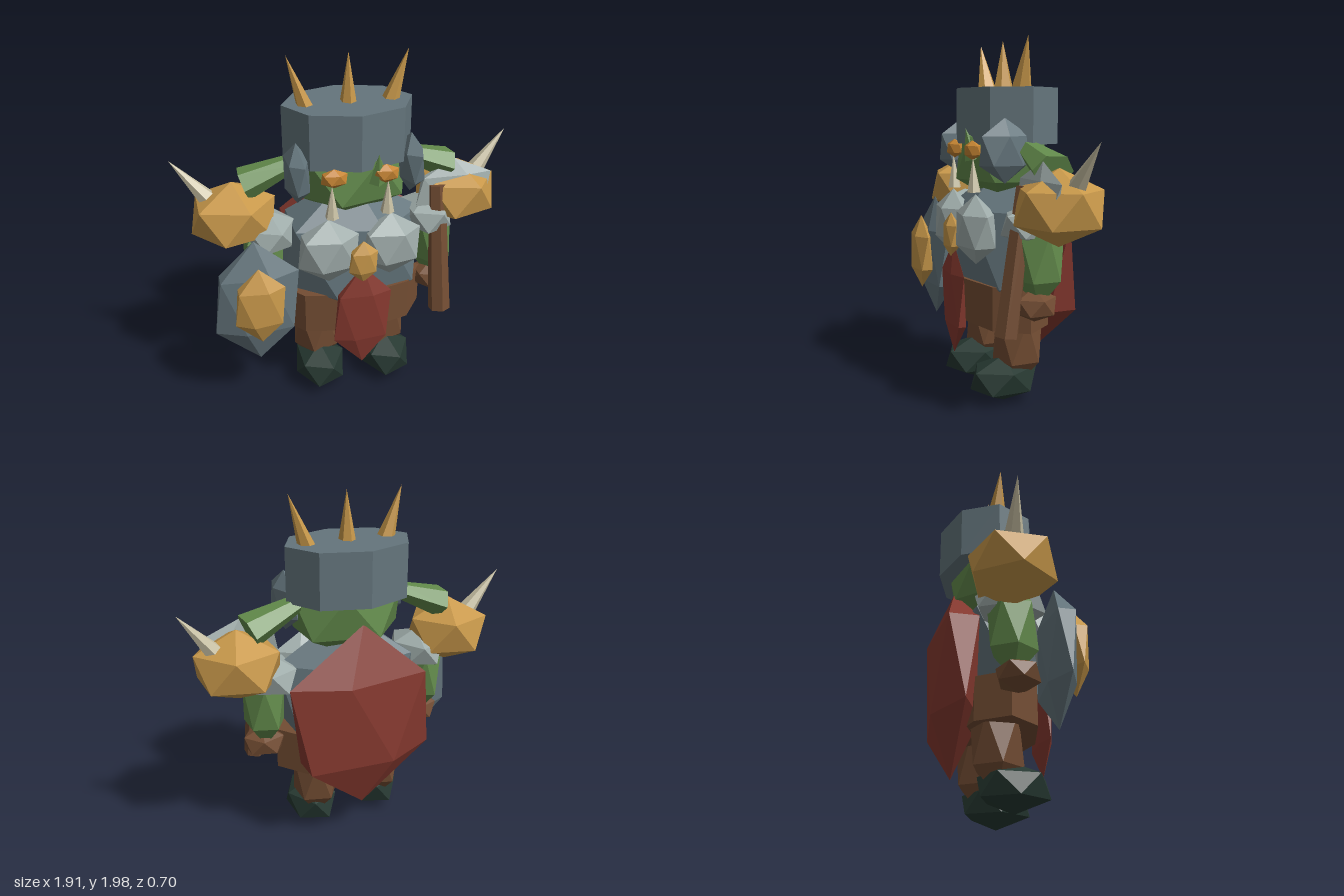
import * as THREE from 'three';
import { ConvexGeometry } from 'three/addons/geometries/ConvexGeometry.js';

const COLORS = {
  iron: 0x64757c, steel: 0xa0adab, gold: 0xc8984a, amber: 0xc58432, skin: 0x628a4b,
  leather: 0x734d33, cloth: 0x86392f, boot: 0x263831, bone: 0xcbc3a6,
};

// Twenty-sided solid of radius 1 with a corner at each pole.
function makeGem() {
  const points = [new THREE.Vector3(0, 1, 0), new THREE.Vector3(0, -1, 0)];
  const h = 1 / Math.sqrt(5), r = 2 * h;
  for (let i = 0; i < 5; i++) {
    const a = (i * Math.PI * 2) / 5;
    points.push(new THREE.Vector3(r * Math.cos(a), h, r * Math.sin(a)));
    points.push(new THREE.Vector3(-r * Math.cos(a), -h, r * Math.sin(a)));
  }
  return new ConvexGeometry(points);
}

// Faceted cylinder or cone with hard edges.
function prism(rTop, rBottom, height, sides) {
  const g = new THREE.CylinderGeometry(rTop, rBottom, height, sides).toNonIndexed();
  g.computeVertexNormals();
  return g;
}

export function createModel() {
  const model = new THREE.Group();
  model.name = 'armouredWarrior';
  const mats = {};
  for (const [name, color] of Object.entries(COLORS)) {
    mats[name] = new THREE.MeshStandardMaterial({ color });
    mats[name].name = name;
  }
  const gemGeometry = makeGem();

  function add(name, geometry, mat, pos, scale = [1, 1, 1]) {
    const mesh = new THREE.Mesh(geometry, mats[mat]);
    mesh.name = name;
    mesh.position.set(...pos);
    mesh.scale.set(...scale);
    model.add(mesh);
    return mesh;
  }
  const gem = (name, mat, pos, radii) => add(name, gemGeometry, mat, pos, radii);

  // Tapered bar between two points; flat squashes it across its own x axis.
  function bar(name, mat, from, to, rFrom, rTo, sides, flat = 1) {
    const a = new THREE.Vector3(...from), b = new THREE.Vector3(...to);
    const dir = b.clone().sub(a);
    const mid = a.clone().add(b).multiplyScalar(0.5);
    const geometry = prism(rTo, rFrom, dir.length(), sides);
    const mesh = add(name, geometry, mat, mid.toArray(), [flat, 1, 1]);
    mesh.quaternion.setFromUnitVectors(new THREE.Vector3(0, 1, 0), dir.normalize());
    return mesh;
  }

  // Torso, belt and clothing
  gem('torso', 'iron', [0, 0.87, 0], [0.47, 0.45, 0.29]);
  add('belt', prism(1, 1, 0.24, 8), 'leather', [0, 0.56, 0.01], [0.43, 1, 0.235]);
  gem('cape', 'cloth', [0, 0.765, -0.22], [0.48, 0.55, 0.155]);
  gem('loincloth', 'cloth', [0, 0.57, 0.285], [0.185, 0.32, 0.042]);
  gem('chestGem', 'gold', [0, 0.925, 0.297], [0.09, 0.127, 0.045]);

  // Head and helmet
  gem('head', 'skin', [0, 1.35, 0], [0.36, 0.27, 0.27]);
  add('helmet', prism(1, 1, 0.3, 8), 'iron', [0, 1.58, -0.03], [0.36, 1, 0.28]);
  bar('nose', 'skin', [0.095, 1.35, 0.2], [0.095, 1.515, 0.245], 0.05, 0, 5);
  for (const i of [-1, 0, 1]) {
    bar('helmetSpike', 'gold', [i * 0.225, 1.69, -0.02], [i * 0.327, 1.99, -0.015], 0.066, 0, 6, 0.75);
  }

  for (const [s, side] of [[1, 'left'], [-1, 'right']]) {
    // Face
    gem(side + 'Eye', 'amber', [s * 0.14, 1.398, 0.222], [0.08, 0.053, 0.045]);
    bar(side + 'Tusk', 'bone', [s * 0.153, 1.175, 0.22], [s * 0.153, 1.36, 0.225], 0.038, 0, 6);
    bar(side + 'Ear', 'skin', [s * 0.3, 1.415, -0.02], [s * 0.58, 1.31, -0.035], 0.06, 0.12, 6, 0.75);
    gem(side + 'CheekGuard', 'iron', [s * 0.315, 1.4, 0.11], [0.073, 0.17, 0.16]);
    // Armour
    gem(side + 'ChestPlate', 'steel', [s * 0.175, 0.975, 0.22], [0.19, 0.19, 0.11]);
    gem(side + 'ShoulderCollar', 'steel', [s * 0.46, 1.03, 0], [0.16, 0.12, 0.21]);
    gem(side + 'Pauldron', 'gold', [s * 0.645, 1.135, -0.035], [0.26, 0.195, 0.25]);
    bar(side + 'PauldronSpike', 'bone', [s * 0.76, 1.22, -0.055], [s * 0.955, 1.465, -0.08], 0.055, 0, 6);
    // Limbs
    gem(side + 'Arm', 'skin', [s * 0.5, 0.87, 0], [0.13, 0.27, 0.145]);
    gem(side + 'Hand', 'leather', [s * 0.5, 0.62, 0.025], [0.13, 0.09, 0.125]);
    gem(side + 'Leg', 'leather', [s * 0.205, 0.36, -0.015], [0.15, 0.28, 0.155]);
    gem(side + 'Boot', 'boot', [s * 0.205, 0.137, 0.07], [0.16, 0.13, 0.212]);
  }

  // Shield carried on the right arm
  gem('shield', 'iron', [-0.575, 0.705, 0.2], [0.265, 0.375, 0.085]);
  gem('shieldBoss', 'gold', [-0.57, 0.735, 0.295], [0.155, 0.23, 0.065]);

  // Axe carried in the left hand
  bar('axeShaft', 'leather', [0.505, 0.47, 0.185], [0.49, 1.23, 0.075], 0.065, 0.05, 6);
  gem('axeBlade', 'steel', [0.6, 1.185, 0.06], [0.255, 0.18, 0.04]).rotation.x = -0.15;

  return model;
}
